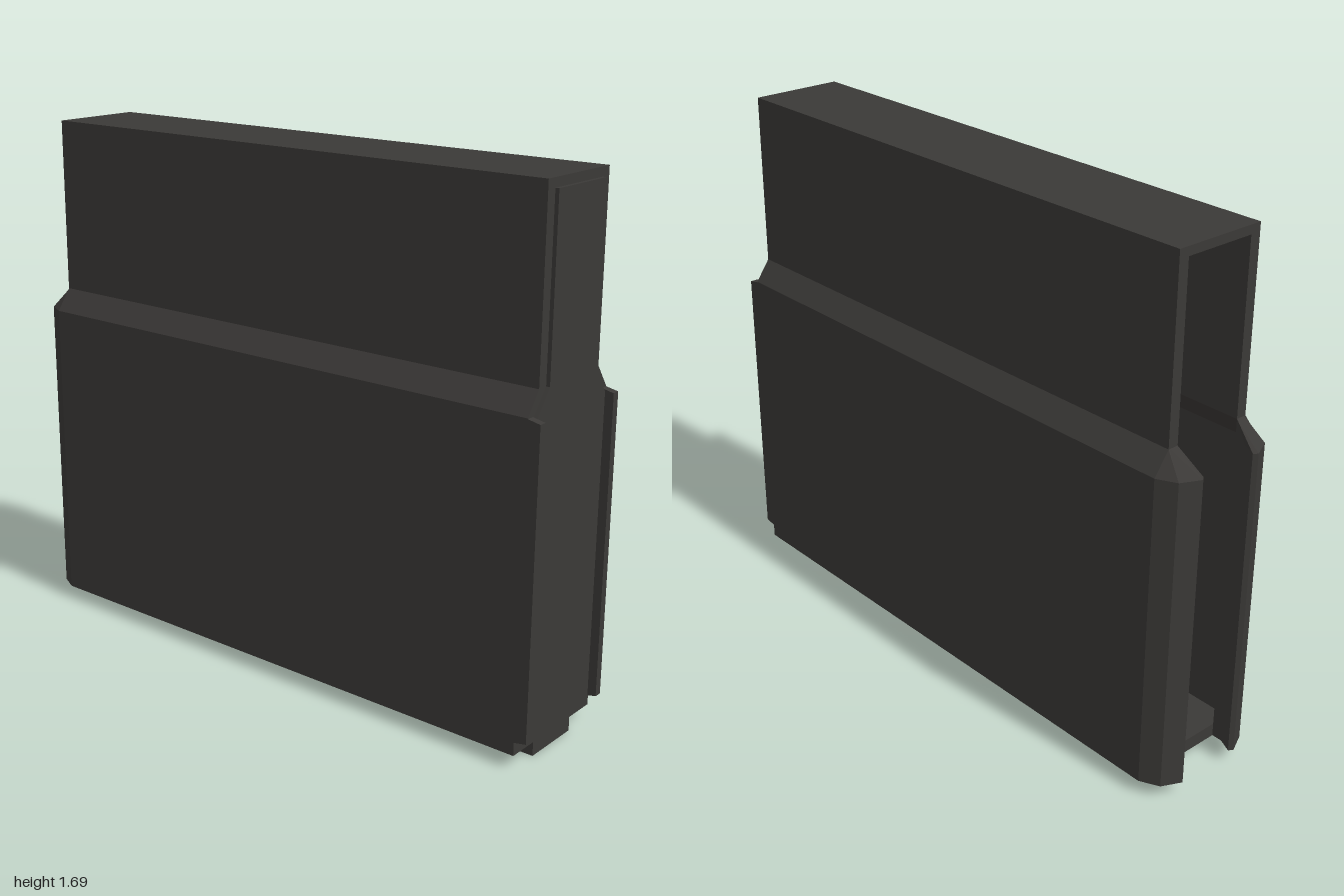
import * as THREE from 'three';

const material = new THREE.MeshStandardMaterial({ color: 0x3b3937, flatShading: true, side: THREE.DoubleSide });

// Mirror a half outline [z, y] (bottom to top) into a closed, symmetric one
const mirrored = (half) => [...half, ...half.slice().reverse().map(([z, y]) => [-z, y])]
  .map(([z, y]) => new THREE.Vector2(z, y));

// Extrude a z/y outline along x, from x0 to x1
function extrudeX(half, x0, x1, holeHalf) {
  const shape = new THREE.Shape(mirrored(half));
  if (holeHalf) shape.holes.push(new THREE.Path(mirrored(holeHalf)));
  const geometry = new THREE.ExtrudeGeometry(shape, { depth: x1 - x0, bevelEnabled: false });
  return geometry.rotateY(Math.PI / 2).translate(x0, 0, 0);
}

// Loft matching sections of [x, z] points; the lowest one is capped
function loft(sections) {
  const pos = [];
  const n = sections[0].points.length;
  const put = (s, i) => pos.push(s.points[i][0], s.y, s.points[i][1]);
  for (let k = 0; k + 1 < sections.length; k++) {
    const lo = sections[k], hi = sections[k + 1];
    for (let i = 0; i < n; i++) {
      const j = (i + 1) % n;
      put(lo, i); put(hi, j); put(lo, j);
      put(lo, i); put(hi, i); put(hi, j);
    }
  }
  const contour = sections[0].points.map(([x, z]) => new THREE.Vector2(x, z));
  for (const face of THREE.ShapeUtils.triangulateShape(contour, [])) face.forEach((i) => put(sections[0], i));
  const geometry = new THREE.BufferGeometry();
  geometry.setAttribute('position', new THREE.Float32BufferAttribute(pos, 3));
  geometry.computeVertexNormals();
  return geometry;
}

export function createModel() {
  const group = new THREE.Group();
  const add = (name, geometry) => {
    const mesh = new THREE.Mesh(geometry, material);
    mesh.name = name;
    group.add(mesh);
  };

  // Hollow shell with a narrower upper section, open at the -x end
  const outer = [[0.205, 0.045], [0.205, 1.055], [0.155, 1.125], [0.155, 1.69]];
  const inner = [[0.18, 0.088], [0.18, 1.045], [0.12, 1.125], [0.12, 1.662]];
  add('shell', extrudeX(outer, -0.91, 0.96, inner));

  // End plate closing the +x end, slightly proud of the upper shell
  add('endPlate', extrudeX(inner, 0.935, 0.972));

  // Rail under the floor
  add('bottomRail', extrudeX([[0.1, 0], [0.1, 0.05]], -0.86, 0.96));

  for (const side of [1, -1]) {
    const label = side > 0 ? 'front' : 'back';

    // Thin flange standing past the end plate
    const flange = new THREE.Shape([[0.95, 0.085], [1, 0.095], [1, 1.045], [0.95, 1.055]]
      .map(([x, y]) => new THREE.Vector2(x, y)));
    const flangeGeometry = new THREE.ExtrudeGeometry(flange, { depth: 0.025, bevelEnabled: false });
    add(label + 'Flange', flangeGeometry.translate(0, 0, side > 0 ? 0.18 : -0.205));

    // Hooked lip at the open end, its top sloping back to the shell
    const base = [[-0.91, 0.205], [-0.97, 0.175], [-1, 0.113], [-0.99, 0.1], [-0.945, 0.12], [-0.91, 0.12]];
    const topZ = [0.155, 0.15, 0.125, 0.12, 0.12, 0.12];
    const place = (points) => {
      const moved = points.map(([x, z]) => [x, z * side]);
      return side > 0 ? moved : moved.reverse();
    };
    add(label + 'Lip', loft([
      { y: 0.045, points: place(base) },
      { y: 1.055, points: place(base) },
      { y: 1.125, points: place(topZ.map((z) => [-0.91, z])) },
    ]));
  }
  return group;
}
